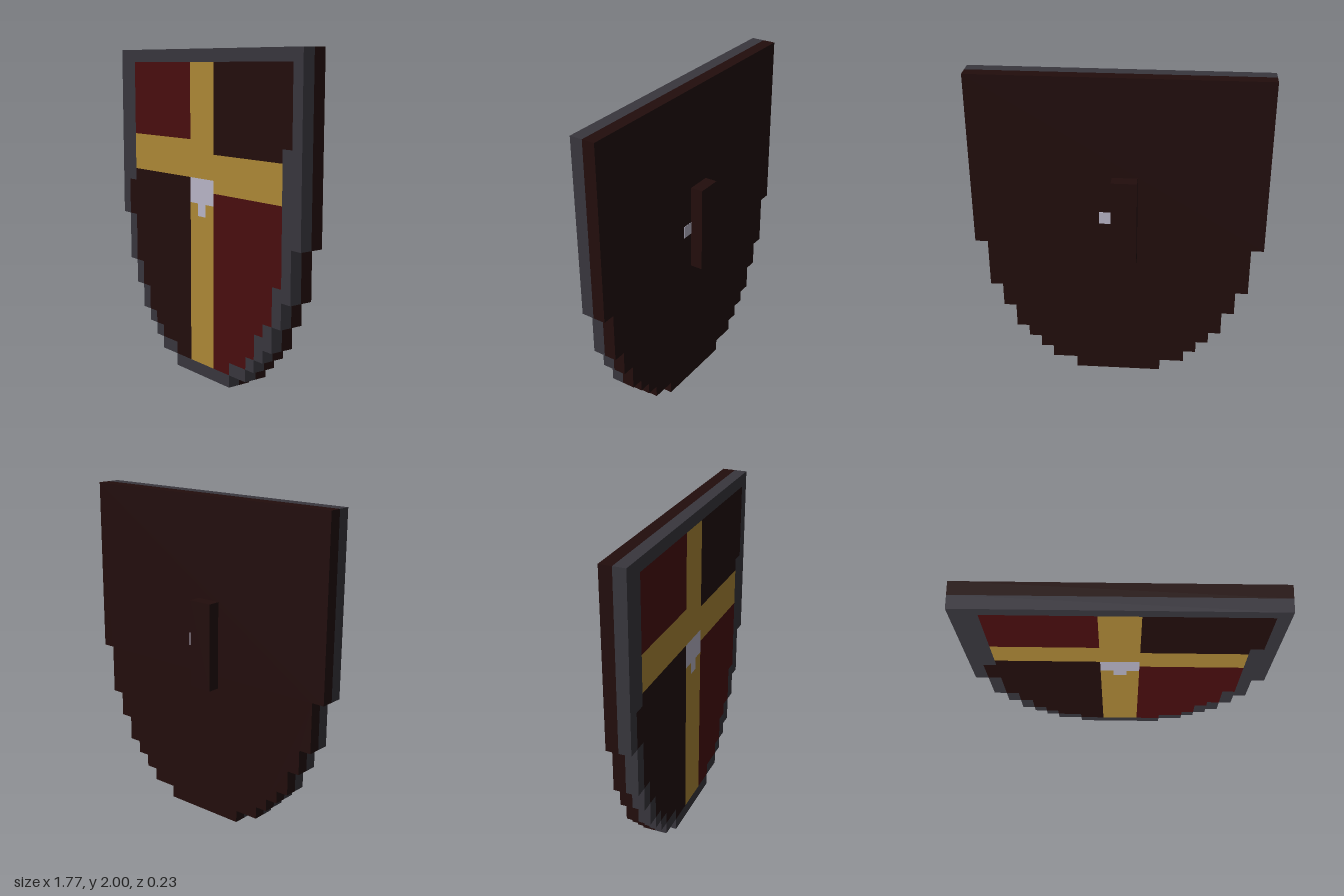
import * as THREE from 'three';

const U = 2 / 26; // one block of the grid

const mat = (name, color) => {
  const m = new THREE.MeshStandardMaterial({ color });
  m.name = name;
  return m;
};

// Stepped edges as [x, top row], from the bottom up
const OUTER = [[3.5, 1], [5.5, 2], [6.5, 3], [7.5, 4], [8.5, 6], [9.5, 8], [10.5, 12], [11.5, 26]];
const INNER_LEFT = [[3.5, 2], [5.5, 3], [6.5, 5], [7.5, 6], [8.5, 9], [9.5, 19], [10.5, 25]];
const INNER_RIGHT = [[3.5, 2], [5.5, 3], [6.5, 4], [7.5, 6], [8.5, 8], [9.5, 12], [10.5, 15], [9.5, 25]];

// Corner points of a stepped edge between two rows, on side s (+1 or -1)
function stairs(steps, s, from, to) {
  const pts = [];
  let y = from;
  for (const [x, top] of steps) {
    const end = Math.min(top, to);
    if (end <= y) continue;
    pts.push([s * x, y], [s * x, end]);
    y = end;
  }
  return pts;
}

const toVectors = (pts) => pts.map(([x, y]) => new THREE.Vector2(x * U, y * U));

// Closed outline from a left and a right stepped edge
const outline = (left, right, from, to) =>
  [...stairs(left, 1, from, to), ...stairs(right, -1, from, to).reverse()];

// Panel between the centre stripe and a stepped edge
const quarter = (steps, s, from, to) =>
  [[s * 1.5, to], [s * 1.5, from], ...stairs(steps, s, from, to)];

const rect = (x0, y0, x1, y1) => [[x0, y0], [x1, y0], [x1, y1], [x0, y1]];

export function createModel() {
  const iron = mat('dark iron', 0x38363d);
  const gold = mat('gold', 0xad8836);
  const red = mat('deep red', 0x490d0e);
  const wood = mat('dark wood', 0x220d0c);
  const silver = mat('silver', 0xb9b5c7);

  const shield = new THREE.Group();
  shield.name = 'shield';

  // Extrudes an outline one layer deep (z in blocks)
  function slab(name, pts, material, z, depth = 1, hole = null) {
    const shape = new THREE.Shape(toVectors(pts));
    if (hole) shape.holes.push(new THREE.Path(toVectors(hole)));
    const geo = new THREE.ExtrudeGeometry(shape, { depth: depth * U, bevelEnabled: false });
    geo.translate(0, 0, z * U);
    const mesh = new THREE.Mesh(geo, material);
    mesh.name = name;
    shield.add(mesh);
  }

  // Backing board and rim
  slab('backBoard', outline(OUTER, OUTER, 0, 26), wood, -0.5);
  slab('rim', outline(OUTER, OUTER, 0, 26), iron, 0.5, 1, outline(INNER_LEFT, INNER_RIGHT, 1, 25));

  // Quartered field
  slab('upperLeftField', quarter(INNER_LEFT, 1, 18, 25), wood, 0.5);
  slab('lowerLeftField', quarter(INNER_LEFT, 1, 1, 15), red, 0.5);
  slab('upperRightField', quarter(INNER_RIGHT, -1, 19, 25), red, 0.5);
  slab('lowerRightField', quarter(INNER_RIGHT, -1, 1, 16), wood, 0.5);

  // Cross, its two arms one block apart in height
  slab('leftArm', quarter(INNER_LEFT, 1, 15, 18), gold, 0.5);
  slab('rightArm', quarter(INNER_RIGHT, -1, 16, 19), gold, 0.5);
  slab('upperStripe', rect(-1.5, 16, 1.5, 25), gold, 0.5);
  slab('lowerStripe', [[-1.5, 1], [1.5, 1], [1.5, 14], [0.5, 14], [0.5, 13],
    [-0.5, 13], [-0.5, 14], [-1.5, 14]], gold, 0.5);

  // Silver boss set into the stripe
  slab('boss', [[-1.5, 16], [-1.5, 14], [-0.5, 14], [-0.5, 13], [0.5, 13],
    [0.5, 14], [1.5, 14], [1.5, 16]], silver, 0.5);

  // Grip and rivet on the back
  slab('grip', rect(-1.5, 11, 0.5, 18), wood, -1.5);
  slab('rivet', rect(0.5, 14, 1.5, 15), silver, -0.53, 0.03);

  return shield;
}
